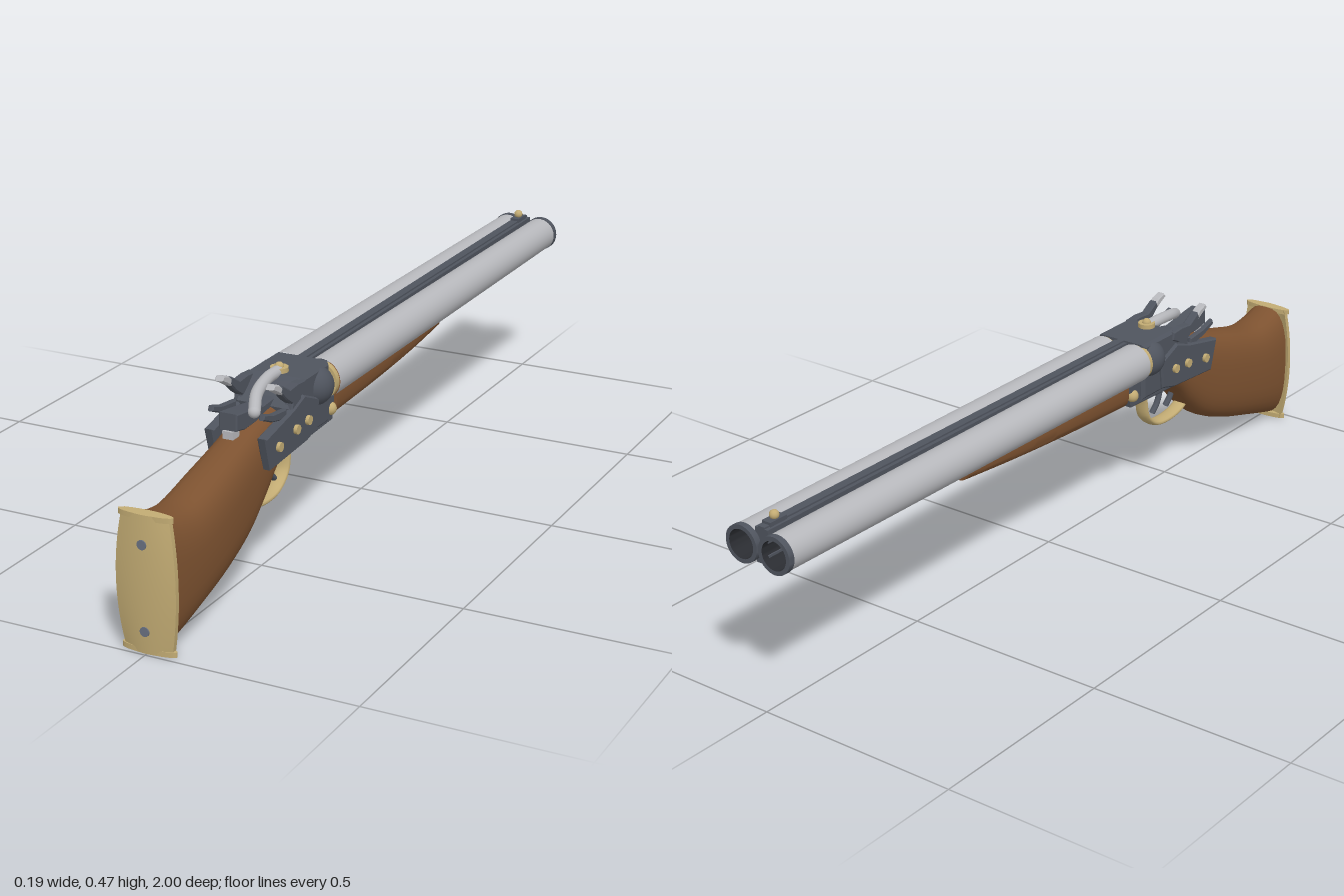
import * as THREE from 'three';
import { toCreasedNormals } from 'three/addons/utils/BufferGeometryUtils.js';

const mat = (name, color) => Object.assign(new THREE.MeshStandardMaterial({ color }), { name });

export function createModel() {
  const root = new THREE.Group();
  root.name = 'doubleBarrelGun';
  const wood = mat('walnut', 0x7d5230);
  const brass = mat('brass', 0xc2ab73);
  const steel = mat('darkSteel', 0x4f545e);
  const silver = mat('barrelSteel', 0xb7b8bc);
  const bore = mat('boreBlack', 0x2b2d32);
  const screw = mat('screwSteel', 0x687080);

  const add = (name, geo, material, x = 0, y = 0, z = 0) => {
    const m = new THREE.Mesh(geo, material);
    m.name = name;
    m.position.set(x, y, z);
    root.add(m);
    return m;
  };
  const box = (w, h, d) => new THREE.BoxGeometry(w, h, d);
  const ball = (r) => new THREE.SphereGeometry(r, 24, 16);
  const cylX = (r, l) => new THREE.CylinderGeometry(r, r, l, 24).rotateZ(Math.PI / 2);
  const cylZ = (r, l) => new THREE.CylinderGeometry(r, r, l, 32).rotateX(Math.PI / 2);
  const curve = (pts) => new THREE.CatmullRomCurve3(pts.map((p) => new THREE.Vector3(...p)));

  // Side profile given as [z, y], extruded symmetrically across x
  const profile = (pts, width, bevel = 0.003) => {
    const shape = new THREE.Shape(pts.map((p) => new THREE.Vector2(...p)));
    const depth = width - 2 * bevel;
    const g = new THREE.ExtrudeGeometry(shape, {
      depth, bevelEnabled: true, bevelSize: bevel, bevelThickness: bevel, bevelOffset: -bevel, bevelSegments: 1,
    });
    return g.translate(0, 0, -depth / 2).rotateY(-Math.PI / 2);
  };

  // Rounded loft through sections [z, bottom, top, halfWidth], z ascending
  const loft = (sections, power, steps = 40, n = 32) => {
    const a = curve(sections.map((s) => [s[0], s[1], s[2]]));
    const b = curve(sections.map((s) => [s[0], s[3], 0]));
    const pos = [], idx = [];
    const bend = (v) => Math.sign(v) * Math.pow(Math.abs(v), 2 / power);
    for (let k = 0; k <= steps; k++) {
      const p = a.getPoint(k / steps), w = b.getPoint(k / steps).y;
      for (let j = 0; j < n; j++) {
        const t = (j / n) * Math.PI * 2;
        pos.push(w * bend(Math.cos(t)), (p.y + p.z) / 2 + ((p.z - p.y) / 2) * bend(Math.sin(t)), p.x);
      }
    }
    for (let k = 0; k < steps; k++) {
      for (let j = 0; j < n; j++) {
        const q = k * n + j, r = k * n + ((j + 1) % n);
        idx.push(q, r, q + n, r, r + n, q + n);
      }
    }
    for (let j = 1; j < n - 1; j++) {
      const e = steps * n;
      idx.push(0, j + 1, j, e, e + j, e + j + 1);
    }
    const g = new THREE.BufferGeometry();
    g.setAttribute('position', new THREE.Float32BufferAttribute(pos, 3));
    g.setIndex(idx);
    return toCreasedNormals(g, 0.7);
  };

  // Flat strip swept along a path in the x = 0 plane
  const strip = (pts, rx, r) => new THREE.TubeGeometry(curve(pts), 32, r, 12).scale(rx / r, 1, 1);

  // Stock and fore-end
  add('stock', loft([
    [0.42, 0.285, 0.385, 0.054], [0.5, 0.235, 0.385, 0.055], [0.56, 0.175, 0.373, 0.057],
    [0.63, 0.12, 0.352, 0.061], [0.74, 0.075, 0.322, 0.068], [0.86, 0.04, 0.295, 0.071],
    [0.93, 0.02, 0.303, 0.071], [0.967, 0.01, 0.315, 0.07],
  ], 2.7), wood);
  add('foreEnd', loft([
    [-0.36, 0.308, 0.36, 0.04], [-0.2, 0.298, 0.37, 0.052], [0, 0.288, 0.375, 0.06], [0.245, 0.278, 0.38, 0.062],
  ], 3), wood);
  add('foreEndTip', loft([
    [-0.385, 0.326, 0.35, 0.022], [-0.375, 0.322, 0.352, 0.03], [-0.355, 0.316, 0.355, 0.036],
  ], 3, 8), brass);
  add('foreEndEscutcheon', box(0.03, 0.006, 0.12), brass, 0, 0.289, -0.05).rotation.x = -0.06;

  // Butt plate: barrel-sided plate bowed outward, with top and bottom lips
  const plate = new THREE.BoxGeometry(2, 2, 0.012, 10, 16, 1);
  const pp = plate.attributes.position;
  for (let i = 0; i < pp.count; i++) {
    const u = pp.getX(i), v = pp.getY(i);
    pp.setXYZ(i, u * (0.056 + 0.016 * (1 - v * v)), 0.1575 + v * 0.1575,
      pp.getZ(i) + 0.994 - 0.012 * u * u - 0.006 * v * v);
  }
  add('buttPlate', toCreasedNormals(plate, 0.6), brass);
  for (const y of [0.006, 0.309]) {
    add('buttPlateLip', new THREE.CylinderGeometry(1, 1, 0.012, 32).scale(0.066, 1, 0.014), brass, 0, y, 0.979);
  }
  for (const y of [0.053, 0.25]) add('buttScrew', cylZ(0.011, 0.008), screw, 0, y, 0.996);

  // Barrel ribs and bead sight
  add('topRib', box(0.036, 0.03, 1.28), steel, 0, 0.417, -0.345);
  add('topRibRidge', box(0.018, 0.006, 1.28), steel, 0, 0.433, -0.345);
  add('lowerRib', box(0.036, 0.025, 1.28), steel, 0, 0.362, -0.345);
  add('sightBase', box(0.024, 0.012, 0.05), steel, 0, 0.436, -0.945);
  add('sightBead', ball(0.011), brass, 0, 0.449, -0.945);

  // Receiver: breech block, lower frame, tang
  add('breechBlock', toCreasedNormals(profile([
    [0.295, 0.29], [0.47, 0.29], [0.49, 0.385], [0.455, 0.41], [0.425, 0.436], [0.295, 0.436],
  ], 0.14, 0.008), 0.2), steel);
  add('lowerFrame', profile([
    [0.25, 0.34], [0.262, 0.28], [0.47, 0.272], [0.47, 0.36], [0.32, 0.36],
  ], 0.12, 0.005), steel);
  add('tang', profile([
    [0.47, 0.372], [0.6, 0.368], [0.64, 0.376], [0.638, 0.415], [0.6, 0.41], [0.52, 0.397], [0.47, 0.4],
  ], 0.046), steel);
  add('tangCatch', box(0.026, 0.018, 0.03), silver, 0, 0.364, 0.625);

  // Opening lever and its pivot
  add('leverPivot', new THREE.CylinderGeometry(0.021, 0.021, 0.02, 24), brass, 0, 0.437, 0.405);
  add('leverPivotCap', ball(0.011), brass, 0, 0.447, 0.405);
  const lever = curve([[0, 0.438, 0.41], [0, 0.437, 0.46], [0.012, 0.426, 0.53], [0.036, 0.406, 0.585]]);
  add('openingLever', new THREE.TubeGeometry(lever, 24, 0.014, 14), silver);
  add('leverThumbPiece', ball(0.014), silver, 0.036, 0.406, 0.585);

  // Trigger guard and two triggers
  add('triggerGuard', strip([
    [0, 0.19, 0.585], [0, 0.168, 0.55], [0, 0.158, 0.5], [0, 0.164, 0.44], [0, 0.195, 0.4],
    [0, 0.245, 0.387], [0, 0.285, 0.375],
  ], 0.019, 0.008), brass);
  for (const z of [0.445, 0.505]) {
    add('trigger', strip([[0, 0.275, z + 0.03], [0, 0.24, z + 0.024], [0, 0.21, z + 0.012], [0, 0.19, z - 0.008]],
      0.008, 0.007), steel);
  }

  // Paired parts on each side
  const tube = [[0.034, -0.75], [0.034, -1], [0.044, -1], [0.044, -0.985]];
  const lathe = (pts) => toCreasedNormals(
    new THREE.LatheGeometry(pts.map((p) => new THREE.Vector2(...p)), 40).rotateX(Math.PI / 2), 0.6);
  for (const s of [-1, 1]) {
    const bx = s * 0.046;
    const barrel = new THREE.CylinderGeometry(0.0475, 0.0425, 1.275, 40, 1, true).rotateX(Math.PI / 2);
    add('barrel', barrel, silver, bx, 0.388, -0.3475);
    const ring = lathe(tube.slice(1));
    const muzzle = add('muzzleRing', ring, steel, bx, 0.388, 0);
    muzzle.material.side = THREE.DoubleSide;
    const inner = add('bore', lathe(tube.slice(0, 2)), bore, bx, 0.388, 0);
    inner.material.side = THREE.DoubleSide;
    add('boreEnd', new THREE.CircleGeometry(0.034, 32), bore, bx, 0.388, -0.75);
    add('breechBand', cylZ(0.045, 0.014), brass, bx, 0.388, 0.296);
    add('breechFence', ball(0.047), steel, s * 0.049, 0.388, 0.335);
    add('hingePin', ball(0.016), brass, s * 0.055, 0.31, 0.268);

    // Lock plate with screws
    add('lockPlate', profile([
      [0.61, 0.357], [0.588, 0.277], [0.42, 0.287], [0.37, 0.3], [0.36, 0.37], [0.43, 0.4], [0.48, 0.383],
    ], 0.024, 0.004), steel, s * 0.066);
    for (const [z, y] of [[0.555, 0.322], [0.475, 0.335], [0.42, 0.338]]) {
      add('lockScrew', cylX(0.011, 0.014), brass, s * 0.079, y, z);
    }

    // Hammer with curved neck, striking nose and bright spur
    add('hammer', profile([
      [0.5, 0.325], [0.455, 0.325], [0.442, 0.36], [0.44, 0.4], [0.415, 0.412], [0.418, 0.432],
      [0.455, 0.435], [0.49, 0.432], [0.525, 0.453], [0.533, 0.438], [0.505, 0.412], [0.48, 0.395], [0.49, 0.36],
    ], 0.022), steel, s * 0.063);
    add('hammerSpur', profile([
      [0.515, 0.44], [0.535, 0.457], [0.558, 0.465], [0.568, 0.455], [0.548, 0.444], [0.525, 0.43],
    ], 0.021), silver, s * 0.063);
    // Rear lock arm
    add('lockArm', profile([
      [0.5, 0.365], [0.5, 0.39], [0.56, 0.397], [0.6, 0.41], [0.605, 0.397], [0.565, 0.38],
    ], 0.014), steel, s * 0.063);
  }
  return root;
}
